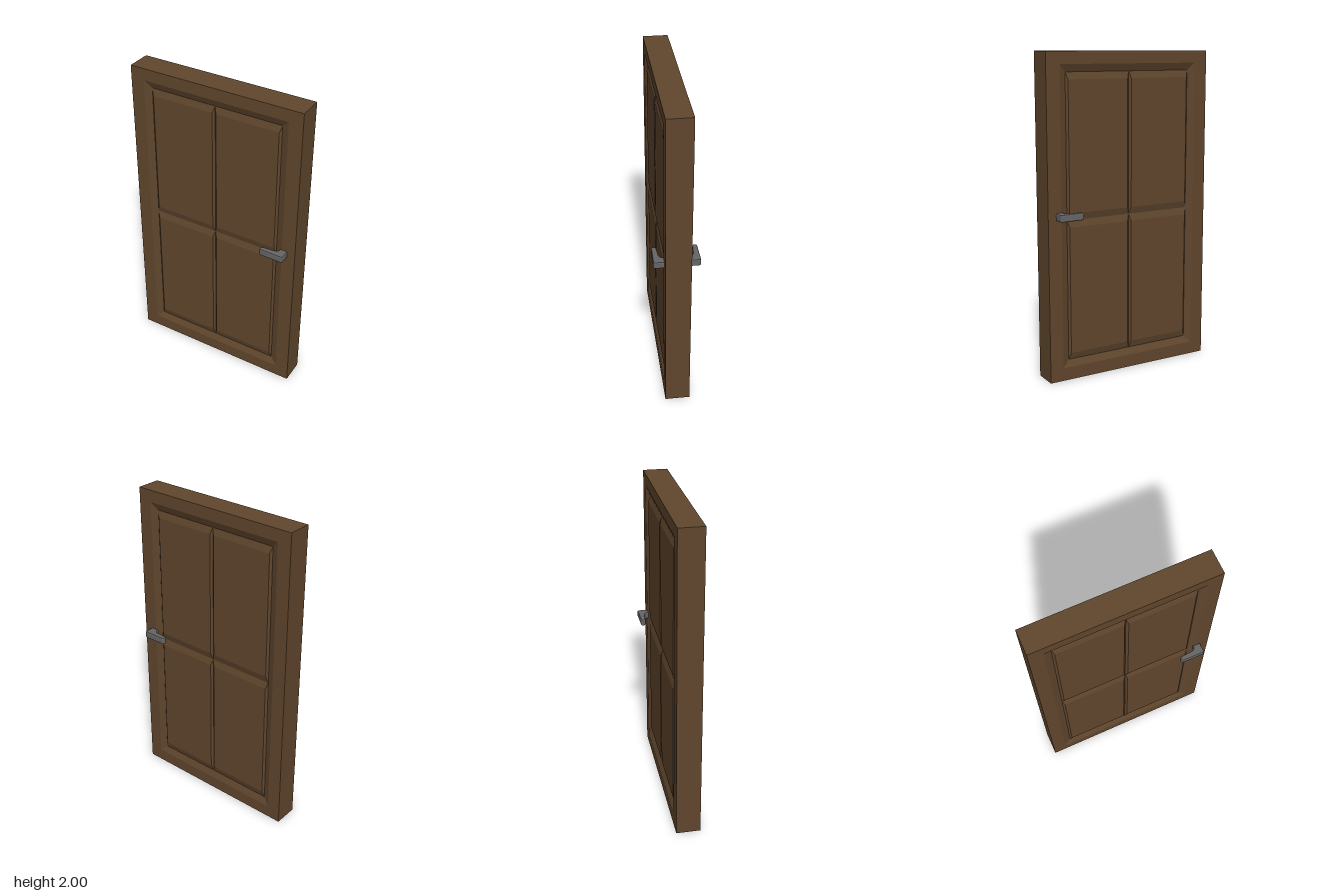
import * as THREE from 'three';

const HALF_W = 0.5625, HEIGHT = 2, FACE = 0.077, RECESS = 0.058, RAISED = 0.07;

// Rectangular loop, counter-clockwise seen from the front
const rect = (x0, x1, y0, y1, z) => [[x0, y0, z], [x1, y0, z], [x1, y1, z], [x0, y1, z]];

// Skins consecutive four-corner loops with flat quads, optionally closing the last one
function loft(loops, cap) {
  const pos = [];
  const quad = (a, b, c, d) => pos.push(...a, ...b, ...c, ...a, ...c, ...d);
  for (let k = 0; k + 1 < loops.length; k++) {
    const a = loops[k], b = loops[k + 1];
    for (let i = 0; i < 4; i++) {
      const j = (i + 1) % 4;
      quad(a[i], a[j], b[j], b[i]);
    }
  }
  if (cap) quad(...loops[loops.length - 1]);
  const geo = new THREE.BufferGeometry();
  geo.setAttribute('position', new THREE.Float32BufferAttribute(pos, 3));
  geo.computeVertexNormals();
  return geo;
}

// Lever handle: plan outline extruded upwards with a soft bevel; side is +1 front, -1 back
function handleGeometry(side) {
  const s = new THREE.Shape();
  s.moveTo(0.51, side * 0.06);
  s.lineTo(0.51, side * 0.131);
  s.quadraticCurveTo(0.51, side * 0.14, 0.5, side * 0.14);
  s.lineTo(0.37, side * 0.138);
  s.quadraticCurveTo(0.352, side * 0.137, 0.352, side * 0.124);
  s.quadraticCurveTo(0.352, side * 0.109, 0.37, side * 0.107);
  s.lineTo(0.435, side * 0.102);
  s.quadraticCurveTo(0.46, side * 0.098, 0.461, side * 0.078);
  s.lineTo(0.461, side * 0.06);
  s.closePath();
  const geo = new THREE.ExtrudeGeometry(s, {
    depth: 0.03, bevelEnabled: true, bevelThickness: 0.008,
    bevelSize: 0.008, bevelOffset: -0.008, bevelSegments: 2, curveSegments: 4,
  });
  geo.rotateX(Math.PI / 2);
  geo.translate(0, 1.047, 0);
  return geo;
}

export function createModel() {
  const wood = new THREE.MeshStandardMaterial({ color: 0x60462d });
  wood.name = 'brown wood';
  const metal = new THREE.MeshStandardMaterial({ color: 0x666666 });
  metal.name = 'grey metal';

  const door = new THREE.Group();
  door.name = 'door';
  const add = (parent, name, geo, mat) => {
    const mesh = new THREE.Mesh(geo, mat);
    mesh.name = name;
    parent.add(mesh);
  };

  // Surrounding frame with a bevelled opening, one half of the thickness
  const frame = loft([
    rect(-HALF_W, HALF_W, 0, HEIGHT, 0),
    rect(-HALF_W, HALF_W, 0, HEIGHT, FACE),
    rect(-0.475, 0.475, 0.08, 1.925, FACE),
    rect(-0.43, 0.43, 0.125, 1.88, RECESS),
  ], false);

  for (const side of [1, -1]) {
    const label = side > 0 ? 'front' : 'back';
    const half = new THREE.Group();
    half.name = label + 'Half';
    if (side < 0) half.rotation.y = Math.PI;
    add(half, label + 'Frame', frame, wood);

    // Four raised panels meeting in V grooves
    for (const [x0, x1] of [[-0.43, 0], [0, 0.43]]) {
      for (const [y0, y1] of [[0.125, 1.0], [1.0, 1.88]]) {
        add(half, label + 'Panel', loft([
          rect(x0, x1, y0, y1, RECESS),
          rect(x0 + 0.013, x1 - 0.013, y0 + 0.043, y1 - 0.043, RAISED),
        ], true), wood);
      }
    }
    door.add(half);

    // Lever handle on the same edge for both sides
    add(door, label + 'Handle', handleGeometry(side), metal);
  }
  return door;
}
